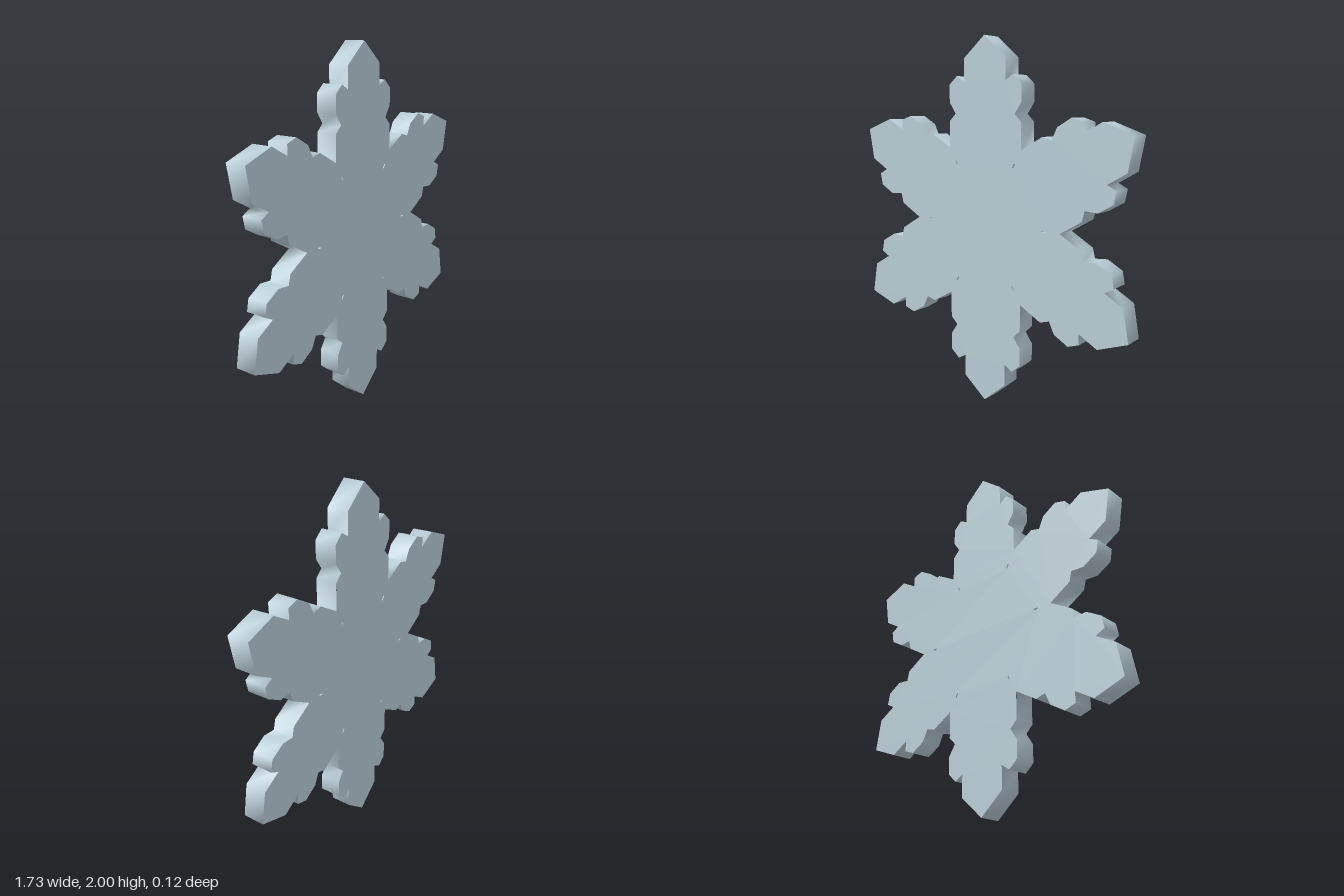
import * as THREE from 'three';

const HALF = 0.06; // half the plate thickness

// Right edge of the upright arm, from the notch up to just below the tip
const EDGE = [
  [0.237, 0.41], [0.236, 0.555], [0.195, 0.595], [0.236, 0.655],
  [0.236, 0.75], [0.185, 0.795], [0.136, 0.765], [0.136, 0.885],
];

const turn = (points, k) => points.map(([x, y]) =>
  new THREE.Vector2(x, y).rotateAround(new THREE.Vector2(), k * Math.PI / 3));

// Band of walls around a closed loop, with smooth normals along the band
function wallGeometry(loop) {
  const pos = [], index = [], n = loop.length;
  loop.forEach((p, i) => {
    pos.push(p.x, p.y, HALF, p.x, p.y, -HALF);
    const a = 2 * i, b = 2 * ((i + 1) % n);
    index.push(a, a + 1, b + 1, a, b + 1, b);
  });
  const geo = new THREE.BufferGeometry();
  geo.setAttribute('position', new THREE.Float32BufferAttribute(pos, 3));
  geo.setIndex(index);
  geo.computeVertexNormals();
  return geo;
}

export function createModel() {
  const group = new THREE.Group();
  group.name = 'snowflake';
  const ice = new THREE.MeshStandardMaterial({ color: 0xb8ccd5 });
  ice.name = 'pale ice blue';

  const add = (name, geo) => {
    const mesh = new THREE.Mesh(geo, ice);
    mesh.name = name;
    mesh.position.y = 1;
    group.add(mesh);
    return mesh;
  };

  // Six identical arms joined into one counter-clockwise outline
  const mirrored = EDGE.slice(1).reverse().map(([x, y]) => [-x, y]);
  const arm = [...EDGE, [0, 1], ...mirrored];
  const outline = [], slits = [];
  // Tiny slit between each pair of arms
  const slit = [[0.365, -0.004], [0.365, 0.004], [0.39, 0.004], [0.39, -0.004]];
  for (let k = 0; k < 6; k++) {
    outline.push(...turn(arm, k));
    slits.push(turn(slit, k));
  }

  // Flat front and back faces
  const shape = new THREE.Shape(outline);
  slits.forEach((s) => shape.holes.push(new THREE.Path(s)));
  const face = new THREE.ShapeGeometry(shape);
  add('frontFace', face).position.z = HALF;
  const back = add('backFace', face);
  back.position.z = -HALF;
  back.rotation.y = Math.PI;

  // Rim and slit walls
  add('rim', wallGeometry(outline));
  slits.forEach((s, i) => add('slitWall' + (i + 1), wallGeometry(s)));
  return group;
}
